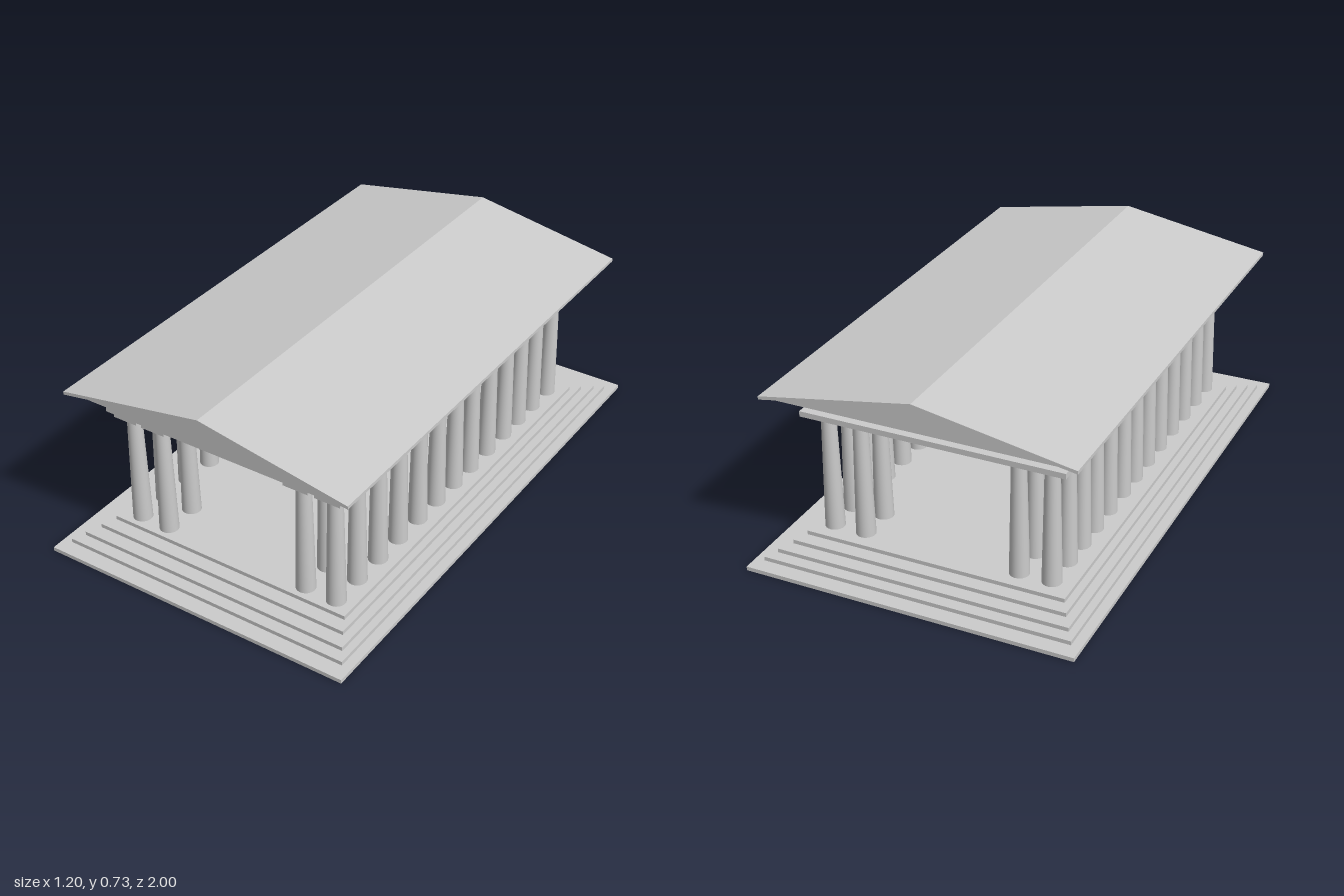
import * as THREE from 'three';

const material = new THREE.MeshStandardMaterial({ color: 0xcccccc });

function add(parent, name, geometry, x = 0, y = 0, z = 0) {
  const mesh = new THREE.Mesh(geometry, material);
  mesh.name = name;
  mesh.position.set(x, y, z);
  parent.add(mesh);
  return mesh;
}

// Flat slab given by half width, half depth and its bottom and top heights
function slab(parent, name, halfX, halfZ, y0, y1, x = 0, z = 0) {
  return add(parent, name, new THREE.BoxGeometry(halfX * 2, y1 - y0, halfZ * 2), x, (y0 + y1) / 2, z);
}

// Front outline (x, y) extruded symmetrically along z
function prism(parent, name, points, halfZ) {
  const shape = new THREE.Shape(points.map(([x, y]) => new THREE.Vector2(x, y)));
  const geometry = new THREE.ExtrudeGeometry(shape, { depth: halfZ * 2, bevelEnabled: false });
  return add(parent, name, geometry, 0, 0, -halfZ);
}

const FLOOR = 0.073, SHAFT_TOP = 0.495, ABACUS_BOTTOM = 0.504, ABACUS_TOP = 0.518;
const shaftGeometry = new THREE.CylinderGeometry(0.026, 0.035, SHAFT_TOP - FLOOR, 24);
const echinusGeometry = new THREE.CylinderGeometry(0.043, 0.027, ABACUS_BOTTOM - SHAFT_TOP, 24);

// Tapered shaft, flared echinus and square abacus
function column(parent, x, z) {
  const group = new THREE.Group();
  group.name = 'column';
  group.position.set(x, 0, z);
  add(group, 'shaft', shaftGeometry, 0, (FLOOR + SHAFT_TOP) / 2);
  add(group, 'echinus', echinusGeometry, 0, (SHAFT_TOP + ABACUS_BOTTOM) / 2);
  slab(group, 'abacus', 0.048, 0.048, ABACUS_BOTTOM, ABACUS_TOP);
  parent.add(group);
}

export function createModel() {
  const temple = new THREE.Group();
  temple.name = 'temple';

  // Stepped base
  const steps = [[0.6, 1], [0.565, 0.943], [0.538, 0.9], [0.507, 0.85], [0.48, 0.8]];
  const rise = FLOOR / steps.length;
  steps.forEach(([hx, hz], i) => slab(temple, 'baseStep', hx, hz, i * rise, (i + 1) * rise));

  // Side colonnades, with a second column inside both ends of each row
  const columns = new THREE.Group();
  columns.name = 'columns';
  const rowZ = [0.746, 0.62, 0.492, 0.364, 0.235, 0.112, -0.01, -0.126, -0.251, -0.374, -0.486, -0.6, -0.725];
  const last = rowZ.length - 1;
  for (const [outerX, innerX] of [[-0.402, -0.285], [0.413, 0.292]]) {
    rowZ.forEach((z) => column(columns, outerX, z));
    for (const i of [0, 1, last - 1, last]) column(columns, innerX, rowZ[i]);
  }
  temple.add(columns);

  // Entablature
  slab(temple, 'architrave', 0.479, 0.798, ABACUS_TOP, 0.538);
  slab(temple, 'frieze', 0.455, 0.758, 0.538, 0.583);
  slab(temple, 'lowerCornice', 0.482, 0.808, 0.583, 0.598);
  slab(temple, 'upperCornice', 0.498, 0.835, 0.598, 0.609);

  // Pediment block filling the space under the roof
  prism(temple, 'pediment', [[-0.525, 0.609], [0.525, 0.609], [0.525, 0.621], [0, 0.712], [-0.525, 0.621]], 0.878);

  // Thin gabled roof
  prism(temple, 'roof', [
    [-0.563, 0.614], [0, 0.712], [0.563, 0.614],
    [0.563, 0.626], [0, 0.725], [-0.563, 0.626],
  ], 0.903);

  return temple;
}
